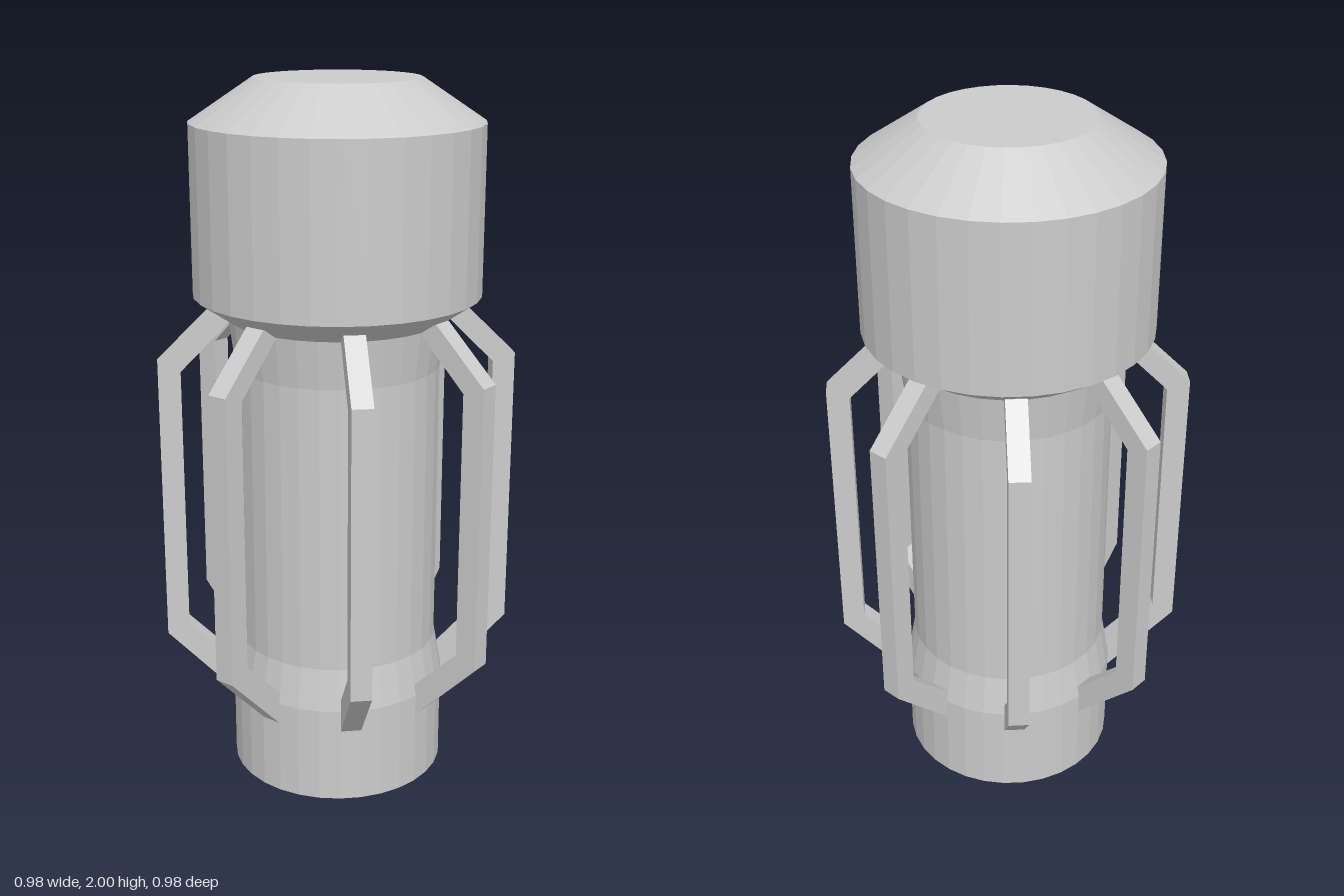
import * as THREE from 'three';

const material = new THREE.MeshStandardMaterial({ color: 0xcccccc, flatShading: true });

function lathe(name, profile) {
  const points = profile.map(([r, y]) => new THREE.Vector2(r, y));
  const mesh = new THREE.Mesh(new THREE.LatheGeometry(points, 32), material);
  mesh.name = name;
  return mesh;
}

// Bent bar: cross-section in the radius/height plane, extruded to its width
function barGeometry() {
  const width = 0.058;
  const outline = [
    [0.305, 0.215], [0.503, 0.42], [0.503, 1.235], [0.35, 1.385],
    [0.3, 1.365], [0.3, 1.352], [0.44, 1.212], [0.44, 0.45], [0.29, 0.3], [0.29, 0.215],
  ];
  const shape = new THREE.Shape(outline.map(([r, y]) => new THREE.Vector2(r, y)));
  const geometry = new THREE.ExtrudeGeometry(shape, { depth: width, bevelEnabled: false });
  return geometry.translate(0, 0, -width / 2);
}

export function createModel() {
  const model = new THREE.Group();
  model.name = 'cagedCanister';

  // Hollow tube, open at the bottom: down the inside, then up the outside
  model.add(lathe('body', [
    [0, 1.36], [0.27, 1.36], [0.27, 0.4], [0.285, 0.28], [0.285, 0],
    [0.31, 0], [0.31, 0.28], [0.288, 0.4], [0.288, 1.22], [0.305, 1.36],
  ]));

  // Wide head with chamfered top and underside
  model.add(lathe('head', [
    [0, 1.36], [0.305, 1.355], [0.4, 1.42], [0.4, 1.885], [0.227, 2], [0, 2],
  ]));

  // Eight guard bars around the body
  const bar = barGeometry();
  const cage = new THREE.Group();
  cage.name = 'guardBars';
  for (let i = 0; i < 8; i++) {
    const mesh = new THREE.Mesh(bar, material);
    mesh.name = 'guardBar';
    mesh.rotation.y = -THREE.MathUtils.degToRad(28 + i * 45);
    cage.add(mesh);
  }
  model.add(cage);

  return model;
}
